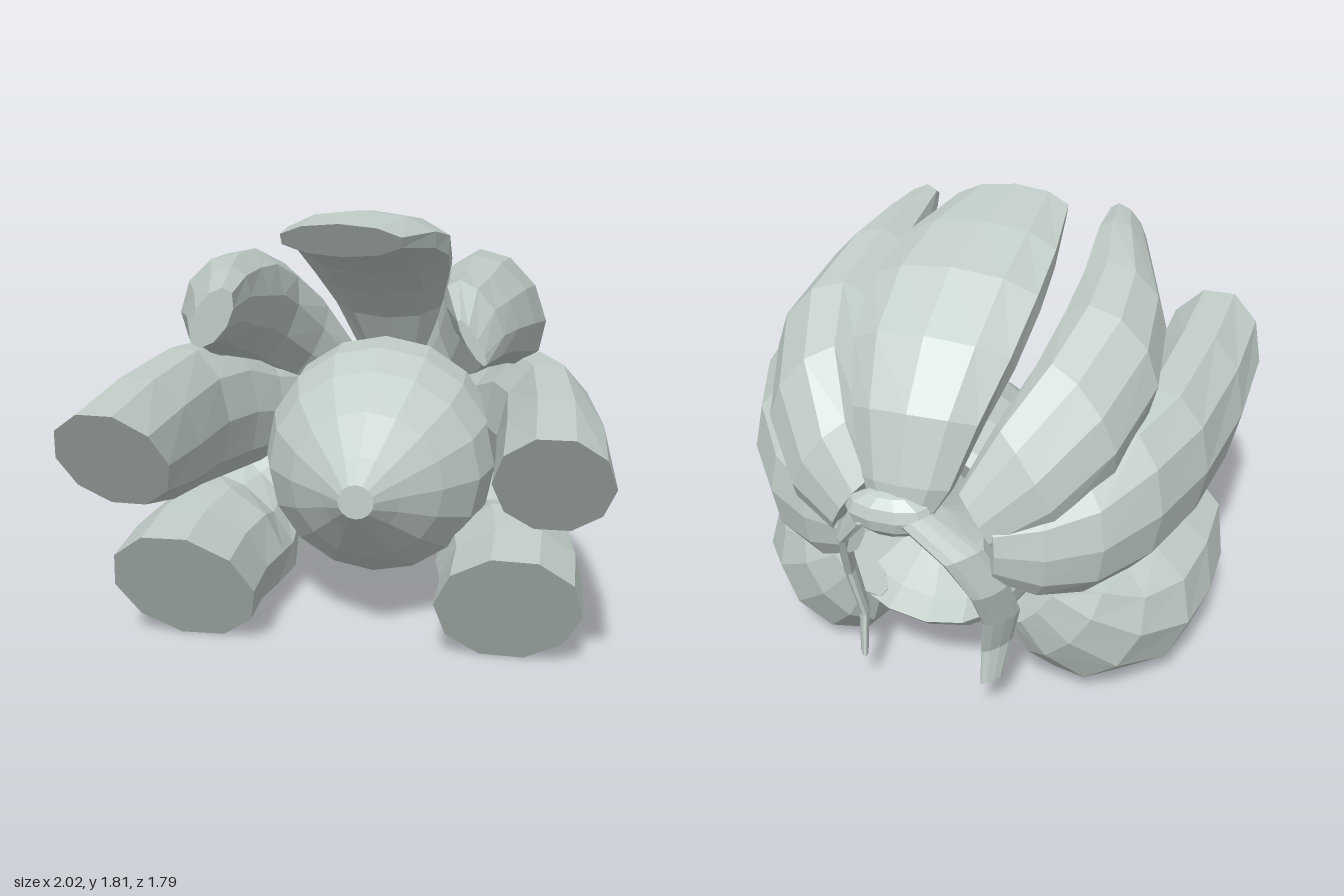
import * as THREE from 'three';

const SIDES = 10;

// Lofts elliptical rings along a path. Each row: x, y, z, half width, half thickness.
// across = direction of the width; slant = how far the cut tip leans forward with height.
function loft(name, rows, across, slant, material) {
  const pos = [], index = [];
  const U = new THREE.Vector3(...across).normalize();
  const centers = rows.map(r => new THREE.Vector3(r[0], r[1], r[2]));
  const last = rows.length - 1;
  rows.forEach((r, i) => {
    const T = centers[Math.min(i + 1, last)].clone().sub(centers[Math.max(i - 1, 0)]);
    const V = T.cross(U).normalize();
    const k = slant * Math.max(0, 1 - i * 0.5);
    for (let j = 0; j < SIDES; j++) {
      const t = (j + 0.5) / SIDES * Math.PI * 2;
      const p = centers[i].clone()
        .addScaledVector(U, Math.cos(t) * r[3] * 1.03)
        .addScaledVector(V, Math.sin(t) * r[4] * 1.03);
      p.z += k * (p.y - r[1]);
      pos.push(p.x, p.y, p.z);
    }
  });
  for (let i = 0; i < last; i++) {
    for (let j = 0; j < SIDES; j++) {
      const a = i * SIDES + j, b = i * SIDES + (j + 1) % SIDES;
      index.push(a, b, a + SIDES, b, b + SIDES, a + SIDES);
    }
  }
  // flat end caps
  const end = last * SIDES;
  for (let j = 1; j < SIDES - 1; j++) {
    index.push(0, j + 1, j, end, end + j, end + j + 1);
  }
  const g = new THREE.BufferGeometry();
  g.setAttribute('position', new THREE.Float32BufferAttribute(pos, 3));
  g.setIndex(index);
  g.computeVertexNormals();
  const mesh = new THREE.Mesh(g, material);
  mesh.name = name;
  return mesh;
}

export function createModel() {
  const group = new THREE.Group();
  group.name = 'pod';
  const shell = new THREE.MeshStandardMaterial({ color: 0xc4d0cb, flatShading: true, side: THREE.DoubleSide });
  shell.name = 'pale grey green';
  const add = (name, across, slant, rows) => group.add(loft(name, rows, across, slant, shell));

  // Top petal, arching over the core
  add('topPetal', [1, 0, 0], 0.85, [
    [-0.03, 1.765, 0.3, 0.23, 0.07],
    [-0.01, 1.71, -0.05, 0.3, 0.11],
    [0, 1.64, -0.3, 0.32, 0.13],
    [0.01, 1.5, -0.52, 0.3, 0.14],
    [0.02, 1.32, -0.67, 0.24, 0.12],
    [0.03, 1.1, -0.76, 0.17, 0.08],
    [0.04, 0.97, -0.79, 0.1, 0.05],
  ]);

  // Upper petals: the left one ends in a thin blade, the right one is blunt
  add('upperPetalLeft', [0.52, -0.86, 0], 0, [
    [0.495, 1.53, 0.77, 0.09, 0.02],
    [0.49, 1.56, 0.59, 0.155, 0.075],
    [0.5, 1.53, 0.4, 0.175, 0.11],
    [0.51, 1.48, 0.1, 0.22, 0.15],
    [0.52, 1.39, -0.3, 0.25, 0.17],
    [0.46, 1.27, -0.55, 0.25, 0.15],
    [0.36, 1.1, -0.7, 0.21, 0.12],
    [0.24, 0.97, -0.77, 0.14, 0.07],
  ]);
  add('upperPetalRight', [-0.52, -0.86, 0], 0, [
    [-0.42, 1.56, 0.7, 0.12, 0.06],
    [-0.46, 1.54, 0.45, 0.16, 0.1],
    [-0.53, 1.46, 0.1, 0.21, 0.16],
    [-0.55, 1.39, -0.2, 0.24, 0.18],
    [-0.5, 1.28, -0.45, 0.24, 0.16],
    [-0.37, 1.12, -0.63, 0.21, 0.12],
    [-0.22, 0.97, -0.74, 0.13, 0.07],
  ]);

  // Paired middle and lower petals, tip first, given for the left (+x) side
  const pairs = [
    { name: 'middlePetal', across: [0, 1, 0], slant: 0.67, dx: -0.01, rows: [
      [0.79, 1.02, 0.74, 0.23, 0.21],
      [0.78, 0.965, 0.35, 0.285, 0.21],
      [0.74, 0.93, -0.05, 0.3, 0.19],
      [0.65, 0.9, -0.32, 0.3, 0.18],
      [0.53, 0.85, -0.52, 0.25, 0.15],
      [0.4, 0.84, -0.65, 0.2, 0.1],
      [0.26, 0.87, -0.75, 0.13, 0.06]] },
    { name: 'lowerPetal', across: [0.63, 0.77, 0], slant: 0.55, dx: -0.06, rows: [
      [0.63, 0.31, 0.3, 0.3, 0.28],
      [0.63, 0.31, 0.05, 0.3, 0.28],
      [0.59, 0.31, -0.17, 0.3, 0.28],
      [0.51, 0.33, -0.35, 0.28, 0.21],
      [0.42, 0.42, -0.47, 0.23, 0.13],
      [0.33, 0.53, -0.54, 0.16, 0.07]] },
  ];
  for (const { name, across, slant, dx, rows } of pairs) {
    add(name + 'Left', across, slant, rows);
    add(name + 'Right', [-across[0], across[1], 0], slant, rows.map(([x, ...rest]) => [dx - x, ...rest]));
  }

  // Thin curled strips hanging behind the opening
  add('backStripLeft', [0.4, 0.1, 0.9], 0, [
    [0.28, 0.2, -0.65, 0.05, 0.015],
    [0.29, 0.38, -0.61, 0.06, 0.02],
    [0.33, 0.6, -0.64, 0.07, 0.025],
    [0.31, 0.82, -0.73, 0.08, 0.03],
    [0.2, 0.96, -0.81, 0.07, 0.03],
    [0.06, 1.02, -0.83, 0.06, 0.03],
  ]);
  add('backStripRight', [-0.6, 0.1, 0.7], 0, [
    [-0.26, 0.2, -0.67, 0.05, 0.015],
    [-0.27, 0.35, -0.64, 0.07, 0.02],
    [-0.3, 0.52, -0.68, 0.08, 0.025],
    [-0.28, 0.7, -0.77, 0.08, 0.03],
    [-0.2, 0.87, -0.83, 0.08, 0.03],
    [-0.04, 1, -0.84, 0.07, 0.03],
  ]);

  // Round pointed core, hollow at the back
  const profile = [
    [0, -0.35], [0.2, -0.38], [0.36, -0.47], [0.4, -0.58], [0.44, -0.54], [0.49, -0.38], [0.49, -0.2],
    [0.44, -0.02], [0.31, 0.17], [0.16, 0.33], [0.07, 0.44], [0, 0.44],
  ].map(p => new THREE.Vector2(...p));
  const coreGeometry = new THREE.LatheGeometry(profile, 16).rotateX(Math.PI / 2);
  const cp = coreGeometry.attributes.position;
  for (let i = 0; i < cp.count; i++) {
    cp.setY(i, cp.getY(i) + Math.max(0, cp.getZ(i)) * 0.13); // tip sits a little high
  }
  const core = new THREE.Mesh(coreGeometry, shell);
  core.name = 'core';
  core.position.set(0.045, 0.735, 0);
  group.add(core);

  // Knot where the petals meet
  const hub = new THREE.Mesh(new THREE.SphereGeometry(1, 10, 6), shell);
  hub.name = 'hub';
  hub.scale.set(0.17, 0.09, 0.08);
  hub.position.set(0.08, 1, -0.82);
  group.add(hub);

  return group;
}
